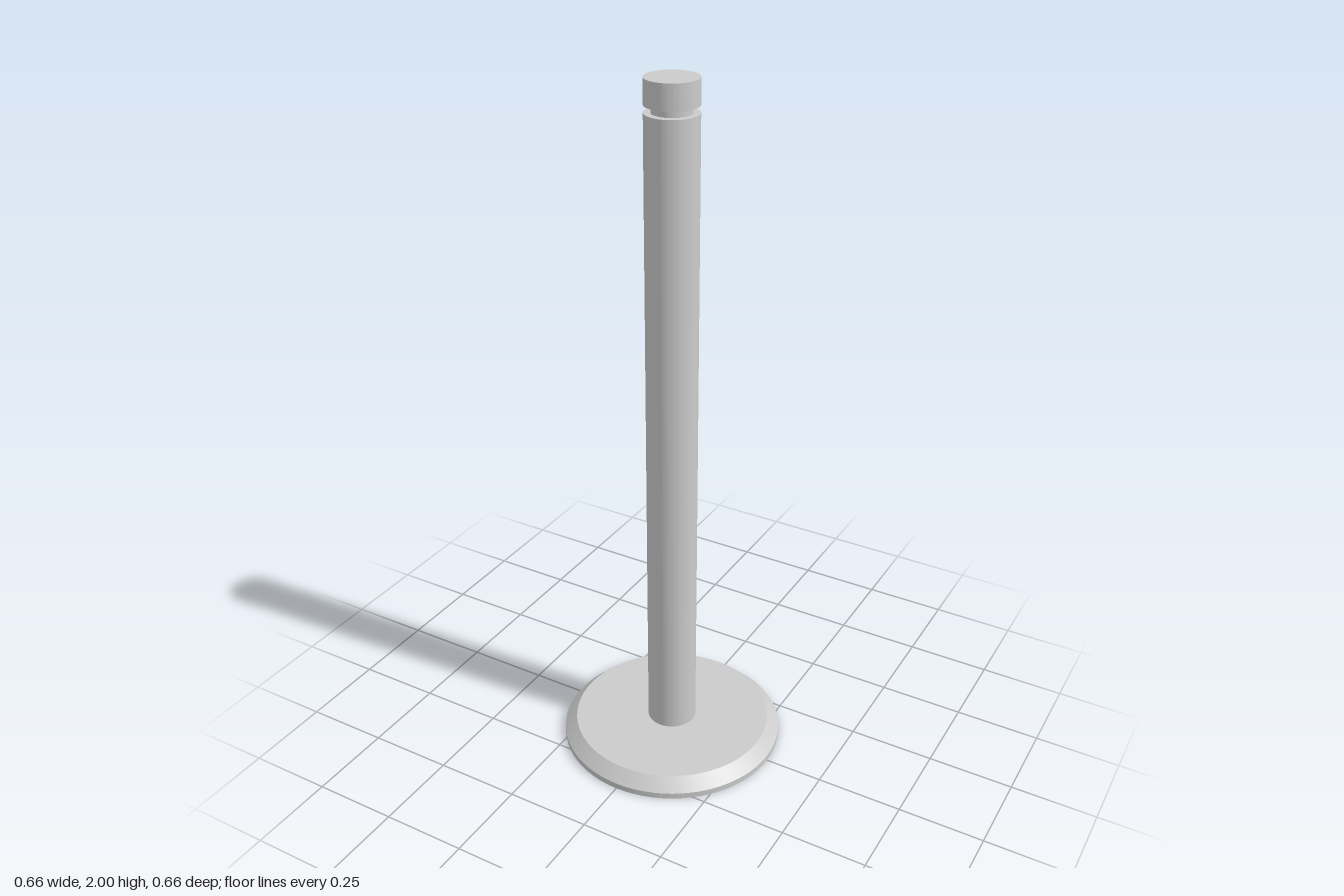
import * as THREE from 'three';
import { toCreasedNormals } from 'three/addons/utils/BufferGeometryUtils.js';

const material = new THREE.MeshStandardMaterial({ color: 0xcccccc });

// Turned part from a [radius, height] profile listed bottom to top
function turned(name, profile) {
  const points = profile.map(([r, y]) => new THREE.Vector2(r, y));
  const geometry = toCreasedNormals(new THREE.LatheGeometry(points, 72), Math.PI / 9);
  const mesh = new THREE.Mesh(geometry, material);
  mesh.name = name;
  return mesh;
}

export function createModel() {
  const group = new THREE.Group();
  group.name = 'flangedPin';

  // Round flange with a bevelled upper rim
  group.add(turned('flange', [
    [0, 0], [0.328, 0], [0.328, 0.018], [0.292, 0.053], [0, 0.053],
  ]));

  // Straight shaft with a narrow retaining groove near the top
  group.add(turned('shaft', [
    [0.072, 0.053], [0.072, 1.912], [0.053, 1.912],
    [0.053, 1.932], [0.072, 1.932], [0.072, 2], [0, 2],
  ]));

  return group;
}
